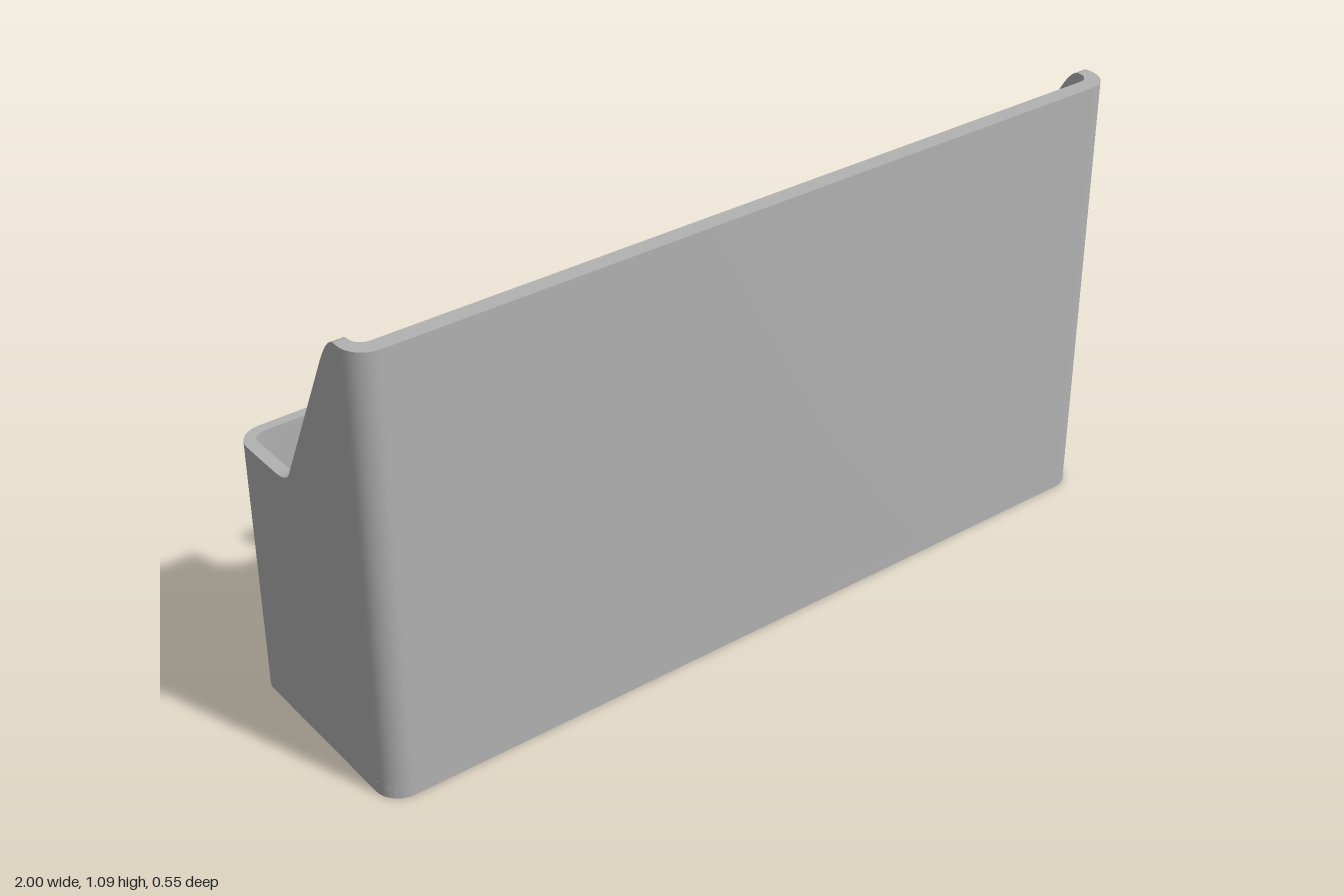
import * as THREE from 'three';
import { toCreasedNormals } from 'three/addons/utils/BufferGeometryUtils.js';

const FLOOR = 0.03, LOW = 0.64, HIGH = 1.09;
const OUT_BACK = -0.275, IN_BACK = -0.25, OUT_FRONT = 0.275, IN_FRONT = 0.235;
const CX = 0.94, R_OUT = 0.06, R_IN = 0.03; // corner centre and radii

// S-shaped upper edge running from low (back) to high (front), as (z, y) points
function slopeEdge(low, high, start, c1, p, q, c2, end) {
  const path = new THREE.Path();
  path.moveTo(start, low);
  path.quadraticCurveTo(c1, low, p[0], p[1]);
  path.lineTo(q[0], q[1]);
  path.quadraticCurveTo(c2, high, end, high);
  return path.getPoints(10);
}

const sideEdge = slopeEdge(LOW, HIGH, -0.1, -0.05, [-0.035, 0.67], [0.135, 1.01], 0.174, 0.2);

// Wall height at depth z
function heightAt(z) {
  if (z <= sideEdge[0].x) return LOW;
  for (let i = 1; i < sideEdge.length; i++) {
    const a = sideEdge[i - 1], b = sideEdge[i];
    if (z <= b.x) return a.y + (b.y - a.y) * (z - a.x) / (b.x - a.x);
  }
  return HIGH;
}

// Front and side walls: one ring of outer/inner points from back left round to back right
function wallGeometry() {
  const half = [[0.9, OUT_BACK, 0.9, IN_BACK]];
  const corner = (zOut, zIn, from) => {
    for (let i = 0; i <= 8; i++) {
      const a = from + (i / 8) * Math.PI / 2, c = Math.cos(a), s = Math.sin(a);
      half.push([CX + R_OUT * c, zOut + R_OUT * s, CX + R_IN * c, zIn + R_IN * s]);
    }
  };
  corner(OUT_BACK + R_OUT, IN_BACK + R_IN, -Math.PI / 2);
  for (const p of sideEdge) half.push([CX + R_OUT, p.x, CX + R_IN, p.x]);
  corner(OUT_FRONT - R_OUT, IN_FRONT - R_IN, 0);
  const ring = [...half, ...half.map(([a, b, c, d]) => [-a, b, -c, d]).reverse()];

  const pos = [];
  const quad = (a, b, c, d) => pos.push(...a, ...b, ...c, ...a, ...c, ...d);
  const stations = ring.map(([ox, oz, ix, iz]) => ({
    outLow: [ox, FLOOR, oz], outTop: [ox, heightAt(oz), oz],
    inLow: [ix, FLOOR, iz], inTop: [ix, heightAt(iz), iz],
  }));
  for (let i = 0; i < stations.length - 1; i++) {
    const s = stations[i], t = stations[i + 1];
    quad(s.outLow, s.outTop, t.outTop, t.outLow);
    quad(s.inTop, s.inLow, t.inLow, t.inTop);
    quad(s.outTop, s.inTop, t.inTop, t.outTop);
  }
  const g = new THREE.BufferGeometry();
  g.setAttribute('position', new THREE.Float32BufferAttribute(pos, 3));
  return toCreasedNormals(g, 0.5);
}

// Low back panel with three U-shaped notches in its top edge
function backGeometry() {
  const r = 0.0625, cy = 0.565;
  const s = new THREE.Shape();
  s.moveTo(-0.9, FLOOR);
  s.lineTo(0.9, FLOOR);
  s.lineTo(0.9, LOW);
  for (const x of [0.66, 0, -0.66]) {
    s.lineTo(x + r, LOW);
    s.lineTo(x + r, cy);
    s.absarc(x, cy, r, 0, -Math.PI, true);
    s.lineTo(x - r, LOW);
  }
  s.lineTo(-0.9, LOW);
  s.closePath();
  const g = new THREE.ExtrudeGeometry(s, { depth: IN_BACK - OUT_BACK, bevelEnabled: false, curveSegments: 20 });
  g.translate(0, 0, OUT_BACK);
  return toCreasedNormals(g, 0.5);
}

// Rounded floor plate
function floorGeometry() {
  const s = new THREE.Shape(), z = OUT_FRONT - R_OUT;
  s.absarc(CX, z, R_OUT, 0, Math.PI / 2);
  s.absarc(-CX, z, R_OUT, Math.PI / 2, Math.PI);
  s.absarc(-CX, -z, R_OUT, Math.PI, Math.PI * 1.5);
  s.absarc(CX, -z, R_OUT, Math.PI * 1.5, Math.PI * 2);
  const g = new THREE.ExtrudeGeometry(s, { depth: FLOOR, bevelEnabled: false, curveSegments: 8 });
  g.rotateX(-Math.PI / 2);
  return toCreasedNormals(g, 0.5);
}

// Thin upright divider with a sweeping top edge, its ends sunk into the walls
function dividerGeometry() {
  const t = 0.02, back = -0.26, front = 0.25;
  const edge = slopeEdge(0.58, 0.91, -0.16, -0.015, [0.05, 0.71], [0.12, 0.85], 0.15, 0.2);
  const s = new THREE.Shape([
    new THREE.Vector2(front, 0.02), new THREE.Vector2(front, 0.91),
    ...edge.reverse(),
    new THREE.Vector2(back, 0.58), new THREE.Vector2(back, 0.02),
  ]);
  const g = new THREE.ExtrudeGeometry(s, { depth: t, bevelEnabled: false });
  g.translate(0, 0, -t / 2);
  g.rotateY(-Math.PI / 2); // profile x becomes z
  return toCreasedNormals(g, 0.5);
}

export function createModel() {
  const group = new THREE.Group();
  group.name = 'dividedTray';
  const grey = new THREE.MeshStandardMaterial({ color: 0xb2b2b2 });
  grey.name = 'grey plastic';
  const add = (name, geometry, x = 0) => {
    const m = new THREE.Mesh(geometry, grey);
    m.name = name;
    m.position.x = x;
    group.add(m);
  };
  add('floor', floorGeometry());
  add('frontAndSideWalls', wallGeometry());
  add('notchedBackWall', backGeometry());
  const divider = dividerGeometry();
  add('leftDivider', divider, 0.33);
  add('rightDivider', divider, -0.33);
  return group;
}
